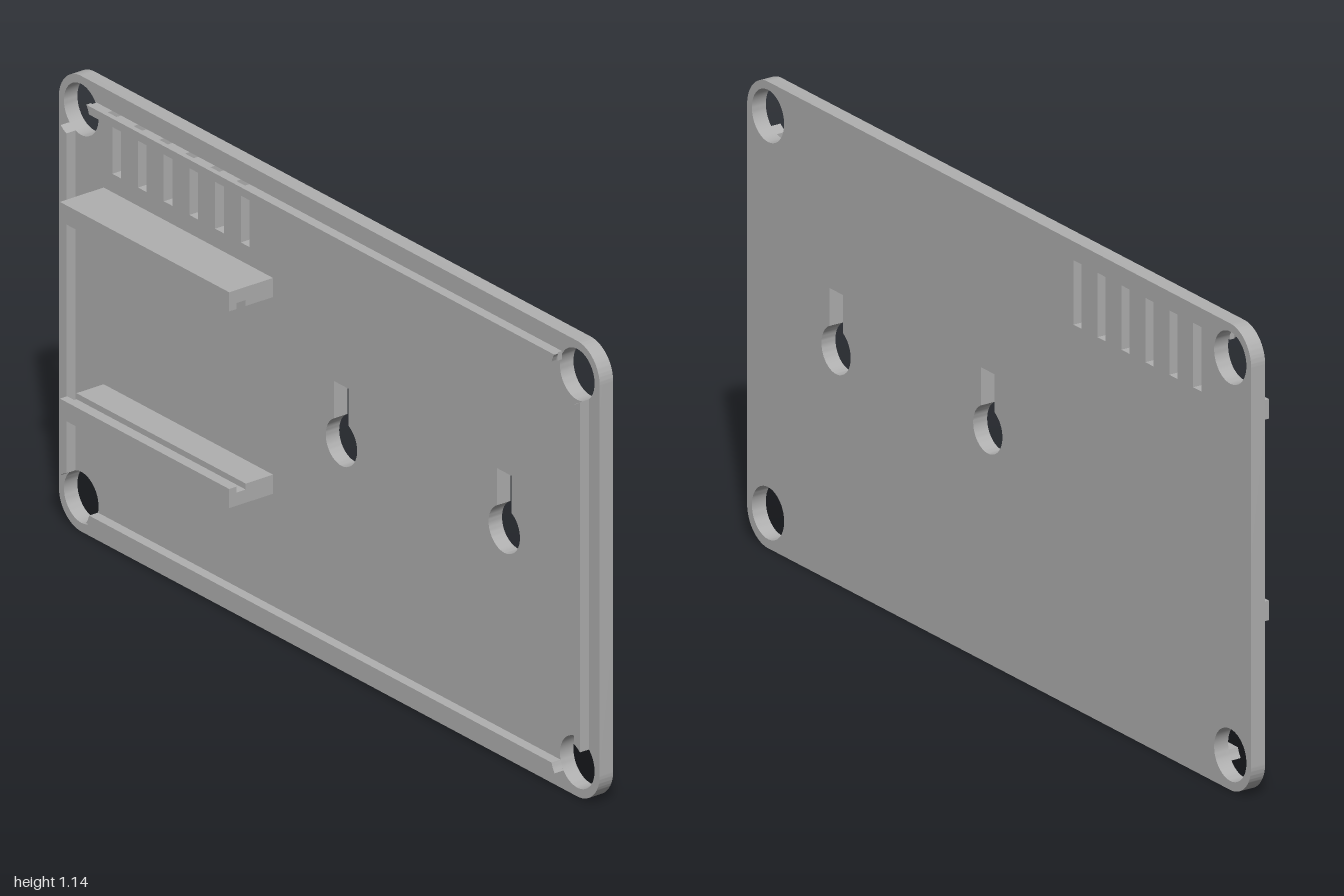
import * as THREE from 'three';
import { toCreasedNormals } from 'three/addons/utils/BufferGeometryUtils.js';

const BACK = -0.083, FACE = -0.044, NOTCH = -0.031, RAIL = -0.018, FRONT = 0.083;
const HEIGHT = 1.144, HOLE_X = 0.917, HOLE_Y = [0.086, 1.06], HOLE_R = 0.064;
const VENTS = [-0.786, -0.691, -0.596, -0.501, -0.406, -0.311], VENT_HALF = 0.016;
const RAIL_TOP = [1.077, 1.098];

const material = new THREE.MeshStandardMaterial({ color: 0xb0b0b0 });
material.name = 'grey plastic';

function part(name, geometry) {
  const mesh = new THREE.Mesh(geometry, material);
  mesh.name = name;
  return mesh;
}

// Extrude an outline in the xy plane from z0 to z1
function slab(name, shape, z0, z1) {
  const g = new THREE.ExtrudeGeometry(shape, { depth: z1 - z0, bevelEnabled: false, curveSegments: 24 });
  g.translate(0, 0, z0);
  return part(name, toCreasedNormals(g, 0.6));
}

const polygon = (pts, Type = THREE.Shape) => new Type(pts.map(([x, y]) => new THREE.Vector2(x, y)));
const rect = (x0, y0, x1, y1, Type) => polygon([[x0, y0], [x1, y0], [x1, y1], [x0, y1]], Type);

function basePlate() {
  const s = new THREE.Shape(), r = 0.083;
  s.absarc(1 - r, r, r, -Math.PI / 2, 0);
  s.absarc(1 - r, HEIGHT - r, r, 0, Math.PI / 2);
  s.absarc(-1 + r, HEIGHT - r, r, Math.PI / 2, Math.PI);
  s.absarc(-1 + r, r, r, Math.PI, Math.PI * 1.5);
  s.closePath();
  // Corner screw holes
  for (const x of [-HOLE_X, HOLE_X]) for (const y of HOLE_Y) {
    s.holes.push(new THREE.Path().absarc(x, y, HOLE_R, 0, Math.PI * 2));
  }
  // Hanging keyholes
  for (const x of [0.045, 0.647]) {
    const half = 0.027, kr = 0.058, a = Math.asin(half / kr), p = new THREE.Path();
    p.absarc(x, 0.572, kr, Math.PI / 2 + a, Math.PI * 2.5 - a);
    p.lineTo(x + half, 0.717);
    p.lineTo(x - half, 0.717);
    p.closePath();
    s.holes.push(p);
  }
  // Vent slots
  for (const x of VENTS) s.holes.push(rect(x - VENT_HALF, 0.94, x + VENT_HALF, RAIL_TOP[1], THREE.Path));
  return slab('basePlate', s, BACK, FACE);
}

// Outline of a rail with ends cut round by the corner holes
// (u runs along the rail, v across it)
function railShape(u0, u1, vc, v0, v1, upright) {
  const start = [], end = [], n = 6;
  for (let i = 0; i <= n; i++) {
    const v = v0 + (v1 - v0) * i / n;
    const d = Math.sqrt(HOLE_R ** 2 - (v - vc) ** 2);
    start.push([u0 + d, v]);
    end.push([u1 - d, v]);
  }
  const pts = [...end, ...start.reverse()];
  return polygon(upright ? pts.map(([u, v]) => [v, u]) : pts);
}

// Shelf with a groove on its inner face, extruded along x
function shelf(name, y, flip) {
  const h = 0.048, groove = 0.015;
  const outline = [[FACE, 0], [FACE, h], [FRONT, h], [FRONT, 0], [0.062, 0], [0.062, groove], [0.035, groove], [0.035, 0]];
  const shape = polygon(outline.map(([z, v]) => [-z, flip ? h - v : v]));
  const g = new THREE.ExtrudeGeometry(shape, { depth: 0.626, bevelEnabled: false });
  g.rotateY(Math.PI / 2);
  g.translate(-0.834, y, 0);
  return part(name, g);
}

export function createModel() {
  const model = new THREE.Group();
  model.name = 'wallMountPlate';
  model.add(basePlate());

  // Locating rails along the sides and bottom
  for (const [name, side] of [['leftRail', 1], ['rightRail', -1]]) {
    model.add(slab(name, railShape(...HOLE_Y, side * HOLE_X, side * 0.938, side * 0.96, true), FACE, RAIL));
  }
  model.add(slab('bottomRail', railShape(-HOLE_X, HOLE_X, HOLE_Y[0], 0.047, 0.07, false), FACE, RAIL));

  // Top rail: solid front layer, back layer interrupted by the vents
  const topRail = new THREE.Group();
  topRail.name = 'topRail';
  const full = railShape(-HOLE_X, HOLE_X, HOLE_Y[1], ...RAIL_TOP, false);
  topRail.add(slab('topRailFront', full, NOTCH, RAIL));
  const cuts = [-0.86, ...VENTS.flatMap(x => [x - VENT_HALF, x + VENT_HALF]), 0.86];
  for (let i = 0; i < cuts.length; i += 2) {
    topRail.add(slab('topRailFoot', rect(cuts[i], RAIL_TOP[0], cuts[i + 1], RAIL_TOP[1]), FACE, NOTCH));
  }
  model.add(topRail);

  // Grooved shelves facing each other
  model.add(shelf('upperShelf', 0.846, false), shelf('lowerShelf', 0.352, true));
  return model;
}
